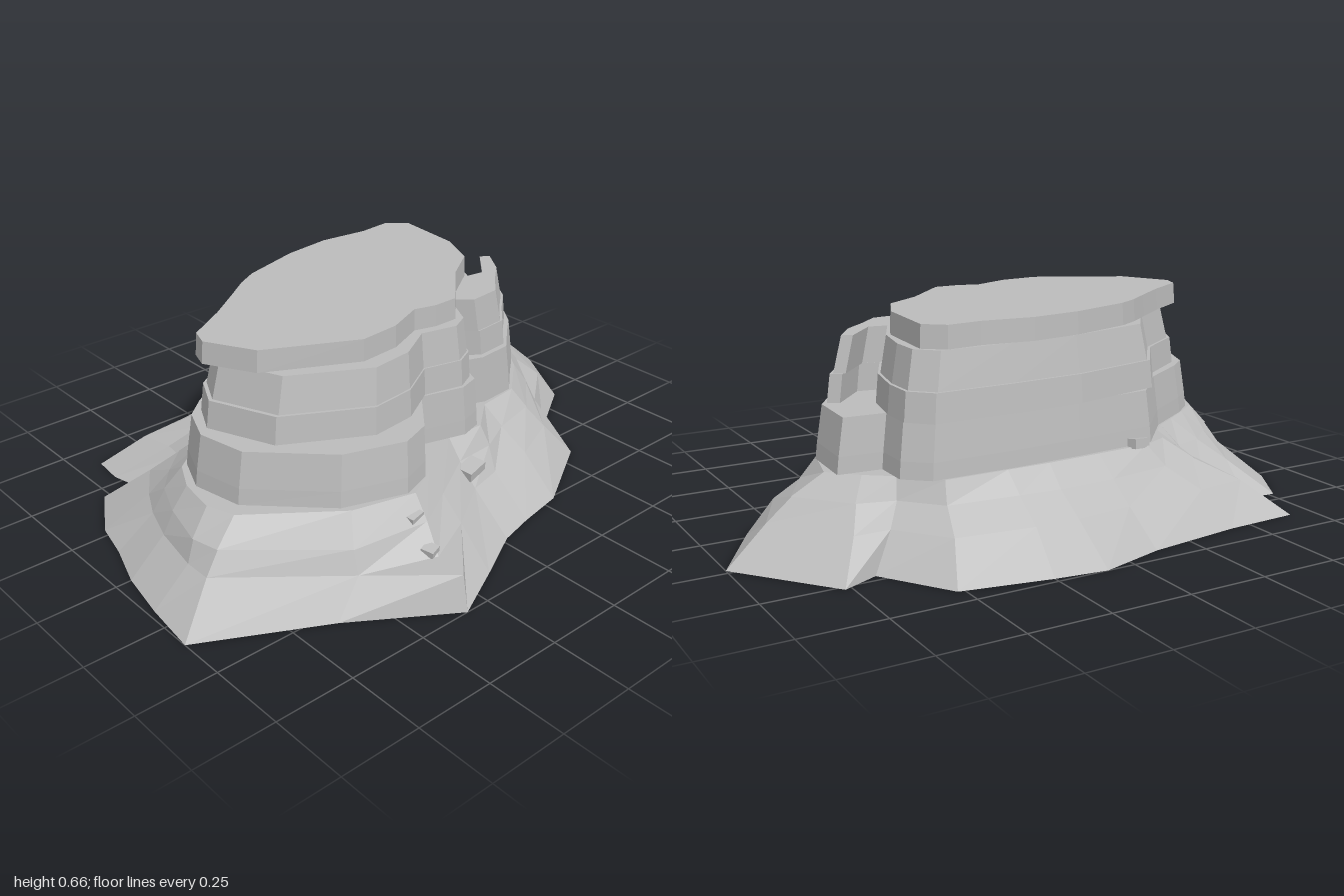
import * as THREE from 'three';

const rock = new THREE.MeshStandardMaterial({ color: 0xbcbcbc, side: THREE.DoubleSide });
rock.name = 'grey rock';

// Outlines run clockwise seen from above, as [x, z], starting at the back.
// The four scree outlines match point for point, from the ground up.
const foot = [
  [-.23, -1], [.03, -.85], [.17, -.63], [.35, -.57], [.51, -.3], [.54, -.14], [.57, -.02],
  [.66, .15], [.75, .33], [.55, .63], [.35, 1], [.17, .98], [0, .95], [-.15, .9], [-.28, .87],
  [-.45, .77], [-.445, .66], [-.535, .68], [-.64, .67], [-.65, .43], [-.69, .12], [-.75, -.09],
  [-.73, -.25], [-.68, -.52], [-.47, -.66], [-.52, -.77],
];
const rim = [
  [-.2, -.87], [.01, -.77], [.14, -.61], [.29, -.49], [.37, -.31], [.39, -.15], [.42, -.03],
  [.53, .14], [.61, .31], [.53, .54], [.26, .86], [.17, .86], [0, .83], [-.12, .79], [-.22, .74],
  [-.34, .66], [-.36, .54], [-.43, .53], [-.54, .55], [-.56, .38], [-.58, .1], [-.6, -.09],
  [-.6, -.23], [-.57, -.47], [-.42, -.59], [-.42, -.7],
];
const bench = [
  [-.2, -.79], [-.04, -.7], [.11, -.59], [.24, -.45], [.28, -.29], [.34, -.17], [.35, -.03],
  [.45, .14], [.53, .28], [.5, .53], [.25, .81], [.16, .83], [0, .79], [-.12, .74], [-.2, .67],
  [-.28, .58], [-.31, .48], [-.37, .45], [-.45, .43], [-.48, .3], [-.51, .09], [-.52, -.1],
  [-.51, -.23], [-.49, -.45], [-.38, -.55], [-.35, -.66],
];
const shoulder = [
  [-.22, -.7], [-.06, -.66], [.08, -.56], [.2, -.42], [.22, -.27], [.31, -.16], [.3, -.03],
  [.41, .16], [.47, .27], [.42, .47], [.22, .73], [.13, .76], [0, .74], [-.1, .69], [-.16, .61],
  [-.22, .52], [-.27, .44], [-.32, .39], [-.4, .35], [-.44, .26], [-.45, .08], [-.46, -.1],
  [-.46, -.24], [-.46, -.44], [-.36, -.54], [-.3, -.62],
];
const lowerCliff = [
  [-.26, -.66], [-.08, -.65], [.05, -.56], [.1, -.5], [.19, -.4], [.2, -.28], [.17, -.2],
  [.29, -.15], [.31, -.08], [.27, .06], [.41, .18], [.445, .28], [.38, .47], [.18, .67], [.02, .7],
  [-.1, .65], [-.16, .58], [-.26, .42], [-.41, .28], [-.43, .02], [-.44, -.2], [-.44, -.46],
  [-.38, -.53], [-.27, -.53],
];
const upperCliff = [
  [-.13, -.47], [.01, -.4], [.02, -.46], [-.09, -.56], [-.07, -.59], [.02, -.53], [.09, -.45],
  [.16, -.38], [.17, -.27], [.12, -.21], [.25, -.14], [.28, -.08], [.25, .04], [.32, .16], [.335, .3],
  [.2, .54], [0, .62], [-.1, .57], [-.2, .42], [-.36, .3], [-.42, .02], [-.43, -.2], [-.43, -.44],
  [-.37, -.5], [-.27, -.5],
];
const summit = [
  [-.36, -.46], [-.13, -.44], [0, -.38], [.08, -.26], [.23, -.11], [.23, -.03], [.21, .04],
  [.26, .16], [.27, .29], [.13, .56], [-.02, .64], [-.08, .62], [-.16, .49], [-.24, .38],
  [-.3, .3], [-.34, .23], [-.4, .03], [-.42, -.13], [-.4, -.29], [-.41, -.4],
];

const scaled = (ring, s) => ring.map(([x, z]) => [x * s, z * s]);

// One rock stratum: walls between two matching outlines, with flat caps.
function stratum(name, y0, y1, bottom, top, openBelow = false) {
  const pos = [];
  const tri = (...pts) => pts.forEach((p) => pos.push(...p));
  const lo = bottom.map(([x, z]) => [x, y0, z]);
  const hi = top.map(([x, z]) => [x, y1, z]);
  lo.forEach((p, i) => {
    const j = (i + 1) % lo.length;
    tri(p, hi[i], lo[j]);
    tri(lo[j], hi[i], hi[j]);
  });
  const cap = (ring, up) => {
    const flat = ring.map((p) => new THREE.Vector2(p[0], p[2]));
    for (const [a, b, c] of THREE.ShapeUtils.triangulateShape(flat, [])) {
      const area = THREE.ShapeUtils.area([flat[a], flat[b], flat[c]]);
      if ((area < 0) === up) tri(ring[a], ring[b], ring[c]);
      else tri(ring[a], ring[c], ring[b]);
    }
  };
  cap(hi, true);
  if (!openBelow) cap(lo, false);
  const geo = new THREE.BufferGeometry();
  geo.setAttribute('position', new THREE.Float32BufferAttribute(pos, 3));
  geo.computeVertexNormals();
  const mesh = new THREE.Mesh(geo, rock);
  mesh.name = name;
  return mesh;
}

export function createModel() {
  const mesa = new THREE.Group();
  mesa.name = 'mesa';

  // Sloping scree in three tiers; the lowest is hollow and has a blunt side spur
  const spurRim = rim.map((p, i) => (i === 8 ? [.72, .32] : p));
  mesa.add(stratum('lowerScree', 0, .105, foot, spurRim, true));
  mesa.add(stratum('middleScree', .105, .172, rim, bench));
  mesa.add(stratum('upperScree', .172, .235, scaled(bench, 1.005), shoulder));

  // Stepped cliff bands, each leaning in a little
  const bands = [
    ['cliffFoot', .235, .285, lowerCliff, 1.03, 1.02],
    ['lowerCliff', .285, .395, lowerCliff, 1.02, .99],
    ['middleCliff', .395, .48, upperCliff, 1.06, 1.04],
    ['upperCliff', .48, .59, upperCliff, 1.02, .97],
    ['summit', .59, .658, summit, 1.01, 1],
  ];
  for (const [name, y0, y1, ring, s0, s1] of bands) {
    mesa.add(stratum(name, y0, y1, scaled(ring, s0), scaled(ring, s1)));
  }

  // Loose boulders on the scree: x, y, z, width, height, depth, turn
  const boulders = [
    [.49, .185, .31, .06, .03, .05, .15],
    [.585, .117, .32, .04, .025, .04, .3],
    [.37, .15, -.05, .07, .03, .08, .2],
    [-.39, .195, .37, .05, .025, .04, .5],
    [-.42, .24, .23, .06, .03, .07, .3],
  ];
  for (const [x, y, z, w, h, d, turn] of boulders) {
    const stone = new THREE.Mesh(new THREE.BoxGeometry(w, h, d), rock);
    stone.name = 'boulder';
    stone.position.set(x, y, z);
    stone.rotation.set(.12, turn, -.15);
    mesa.add(stone);
  }
  return mesa;
}
